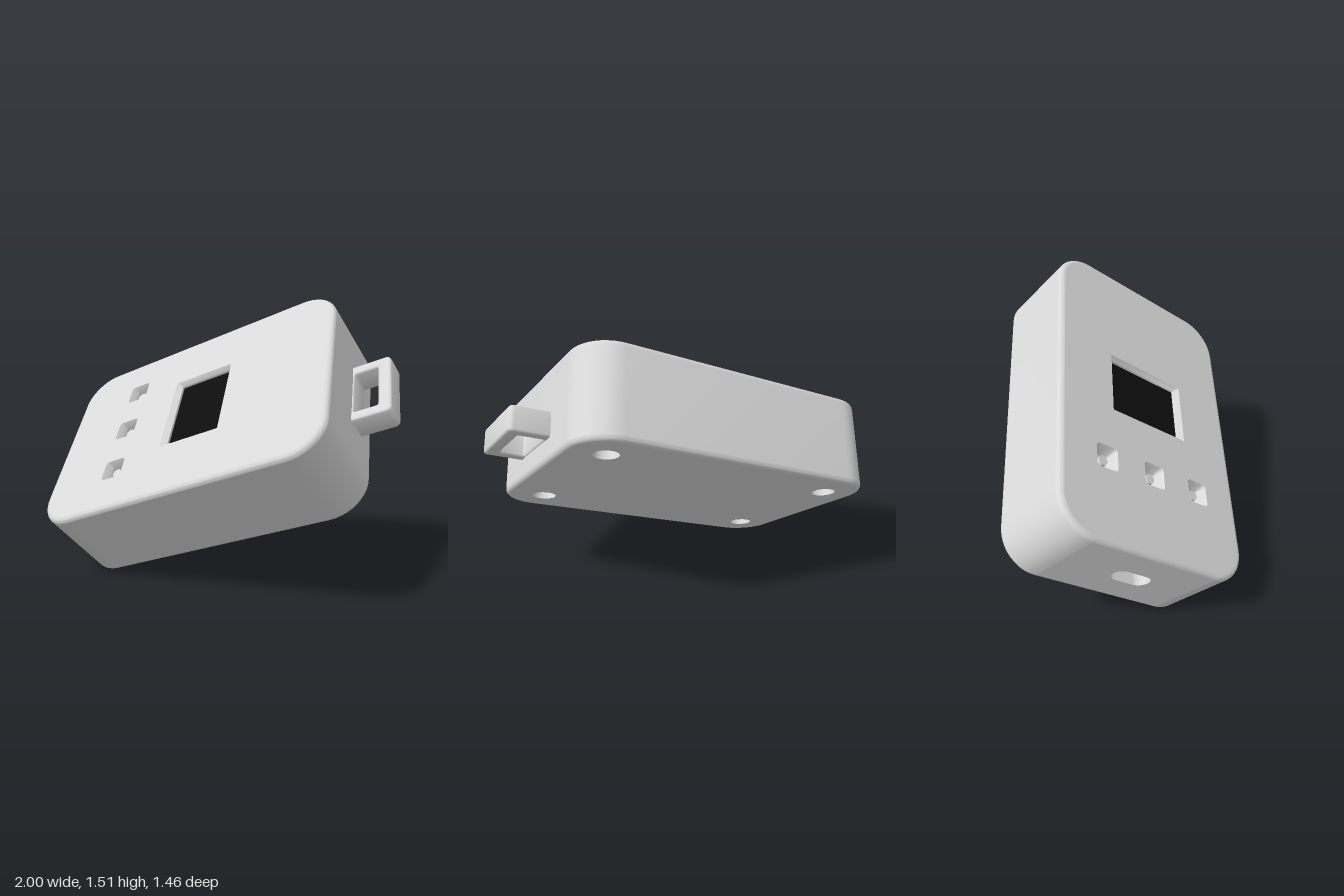
import * as THREE from 'three';
import { toCreasedNormals } from 'three/addons/utils/BufferGeometryUtils.js';

const W = 1.71, H = 1.16, D = 0.487, R = 0.2, F = 0.028; // case size, corner radius, edge fillet

// Counter-clockwise rounded rectangle, starting below the left edge
function roundRect(w, h, r, cx = 0, cy = 0, seg = 10) {
  const pts = [];
  [[-1, -1], [1, -1], [1, 1], [-1, 1]].forEach(([sx, sy], k) => {
    for (let i = 0; i <= seg; i++) {
      const a = Math.PI * (1 + k / 2 + i / seg / 2);
      pts.push(new THREE.Vector2(cx + sx * (w / 2 - r) + r * Math.cos(a), cy + sy * (h / 2 - r) + r * Math.sin(a)));
    }
  });
  return pts;
}

// Skin between stacked rings [points, z]
function loft(rings, closed = true) {
  const n = rings[0][0].length, pos = [], index = [];
  rings.forEach(([pts, z]) => pts.forEach(p => pos.push(p.x, p.y, z)));
  for (let i = 0; i < rings.length - 1; i++) {
    for (let j = 0; j < (closed ? n : n - 1); j++) {
      const a = i * n + j, b = i * n + (j + 1) % n;
      index.push(a, b, b + n, a, b + n, a + n);
    }
  }
  const g = new THREE.BufferGeometry();
  g.setAttribute('position', new THREE.Float32BufferAttribute(pos, 3));
  g.setIndex(index);
  return toCreasedNormals(g, 0.6);
}

function plate(outline, holes = []) {
  const s = new THREE.Shape(outline);
  holes.forEach(h => s.holes.push(new THREE.Path(h)));
  return new THREE.ShapeGeometry(s);
}

export function createModel() {
  const shell = new THREE.MeshStandardMaterial({ color: 0xd8d8d8 });
  shell.name = 'light grey plastic';
  const black = new THREE.MeshStandardMaterial({ color: 0x0d0d0d });
  black.name = 'screen black';

  const device = new THREE.Group();
  device.name = 'device';
  const add = (parent, name, geo, mat = shell) => {
    const m = new THREE.Mesh(geo, mat);
    m.name = name;
    parent.add(m);
    return m;
  };
  // Recess going down -z from its parent's face
  const pocket = (parent, name, rings) => {
    add(parent, name + 'Walls', loft(rings));
    const [pts, z] = rings[rings.length - 1];
    add(parent, name + 'Floor', plate(pts)).position.z = z;
  };

  // Side wall, open at the port end
  const outline = roundRect(W, H, R);
  add(device, 'sideWall', loft([[outline, F - D / 2], [outline, D / 2 - F]], false));

  // Front and back faces, each with its filleted rim
  const face = (name, holes) => {
    const g = new THREE.Group();
    g.name = name;
    const rings = [];
    for (let i = 0; i <= 5; i++) {
      const a = i / 5 * Math.PI / 2, e = F * (1 - Math.cos(a));
      rings.push([roundRect(W - 2 * e, H - 2 * e, R - e), F * (Math.sin(a) - 1)]);
    }
    add(g, name + 'Rim', loft(rings));
    add(g, name + 'Panel', plate(roundRect(W - 2 * F, H - 2 * F, R - F), holes));
    g.position.z = D / 2;
    device.add(g);
    return g;
  };

  // Front: screen window and three buttons
  const windowOuter = roundRect(0.36, 0.49, 0.005, 0.07, 0.005, 2);
  const windowInner = roundRect(0.315, 0.45, 0.005, 0.075, 0.008, 2);
  const buttonX = -0.405, buttonYs = [0.3, 0, -0.3];
  const buttonHole = (y, s) => roundRect(s, s, s * 0.15, buttonX, y, 4);
  const front = face('front', [windowOuter, ...buttonYs.map(y => buttonHole(y, 0.128))]);
  pocket(front, 'screenWindow', [[windowOuter, 0], [windowInner, -0.025], [windowInner, -0.042]]);
  add(front, 'screen', new THREE.BoxGeometry(0.31, 0.445, 0.006), black).position.set(0.075, 0.008, -0.038);
  for (const y of buttonYs) {
    pocket(front, 'buttonRecess', [[buttonHole(y, 0.128), 0], [buttonHole(y, 0.09), -0.04], [buttonHole(y, 0.09), -0.1]]);
    add(front, 'buttonBase', new THREE.BoxGeometry(0.075, 0.075, 0.03)).position.set(buttonX, y, -0.085);
    const cap = add(front, 'buttonCap', new THREE.CylinderGeometry(0.026, 0.026, 0.04, 20));
    cap.rotation.x = Math.PI / 2;
    cap.position.set(buttonX, y, -0.055);
  }

  // Back: four round screw recesses
  const screws = [];
  for (const x of [-0.655, 0.655]) for (const y of [-0.38, 0.38]) screws.push(roundRect(0.126, 0.126, 0.063, x, y, 8));
  const back = face('back', screws);
  back.position.z = -D / 2;
  back.rotation.y = Math.PI;
  screws.forEach(s => pocket(back, 'screwRecess', [[s, 0], [s, -0.12]]));

  // Port end with its slot
  const end = new THREE.Group();
  end.name = 'portEnd';
  end.position.x = -W / 2;
  end.rotation.y = -Math.PI / 2;
  device.add(end);
  const slot = roundRect(0.11, 0.22, 0.05, 0, -0.02);
  add(end, 'portEndPanel', plate(roundRect(D - 2 * F, H - 2 * R, 0), [slot]));
  pocket(end, 'portSlot', [[slot, 0], [slot, -0.1]]);

  // Strap loop on the opposite end
  const loopShape = new THREE.Shape(roundRect(0.245, 0.39, 0.025, 0.9325, 0, 4));
  loopShape.holes.push(new THREE.Path(roundRect(0.125, 0.27, 0.01, 0.925, 0, 3)));
  const b = 0.015;
  const loopGeo = new THREE.ExtrudeGeometry(loopShape, {
    depth: 0.13 - 2 * b, bevelThickness: b, bevelSize: b, bevelOffset: -b, bevelSegments: 4,
  });
  add(device, 'strapLoop', toCreasedNormals(loopGeo, 0.6)).position.z = b - 0.132;

  // Tilted pose of the whole device
  const n = new THREE.Vector3(-0.085, 0.73, 0.68).normalize();
  const l = new THREE.Vector3(0.901, 0.346, -0.259);
  l.addScaledVector(n, -l.dot(n)).normalize();
  const v = new THREE.Vector3().crossVectors(n, l);
  device.quaternion.setFromRotationMatrix(new THREE.Matrix4().makeBasis(l, v, n));
  device.position.set(-0.03, 0.765, 0);

  const model = new THREE.Group();
  model.name = 'model';
  model.add(device);
  return model;
}
